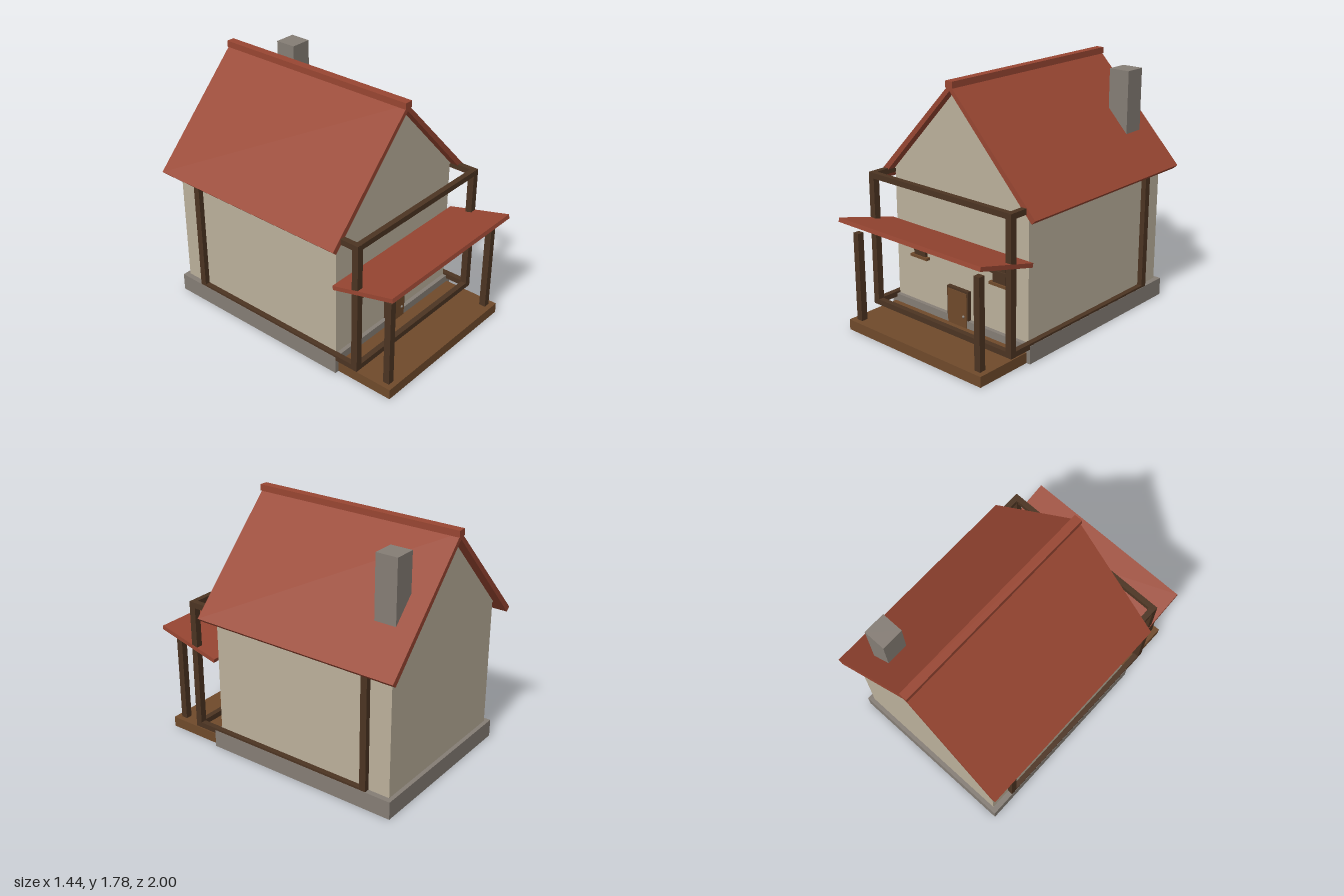
import * as THREE from 'three';

const mat = (name, color) => {
  const m = new THREE.MeshStandardMaterial({ color });
  m.name = name;
  return m;
};

export function createModel() {
  const plaster = mat('plaster', 0xbbb09b);
  const stone = mat('stone', 0x857d75);
  const tile = mat('roofTile', 0x984632);
  const timber = mat('darkTimber', 0x4c3422);
  const wood = mat('wood', 0x6f4a2b);

  const house = new THREE.Group();
  house.name = 'house';

  // Box given by its limits on each axis
  const box = (name, m, [x0, x1], [y0, y1], [z0, z1], parent = house) => {
    const mesh = new THREE.Mesh(new THREE.BoxGeometry(x1 - x0, y1 - y0, z1 - z0), m);
    mesh.position.set((x0 + x1) / 2, (y0 + y1) / 2, (z0 + z1) / 2);
    mesh.name = name;
    parent.add(mesh);
    return mesh;
  };

  // Cross-section in x, y drawn out along z
  const prism = (name, m, points, z0, z1) => {
    const shape = new THREE.Shape(points.map(([x, y]) => new THREE.Vector2(x, y)));
    const geo = new THREE.ExtrudeGeometry(shape, { depth: z1 - z0, bevelEnabled: false });
    const mesh = new THREE.Mesh(geo, m);
    mesh.position.z = z0;
    mesh.name = name;
    house.add(mesh);
  };

  // Main body
  box('foundation', stone, [-0.65, 0.65], [0, 0.13], [-0.95, 0.54]);
  box('walls', plaster, [-0.61, 0.61], [0.13, 1.07], [-0.92, 0.51]);
  prism('gable', plaster, [[-0.61, 1.07], [0.61, 1.07], [0, 1.715]], -0.928, 0.518);

  // Roof slopes, ridge and chimney
  for (const s of [-1, 1]) {
    prism(s > 0 ? 'leftRoof' : 'rightRoof', tile,
      [[0, 1.715], [0.69 * s, 0.985], [0.72 * s, 1.013], [0, 1.76]], -0.995, 0.58);
  }
  box('ridgeCap', tile, [-0.03, 0.03], [1.735, 1.78], [-1, 0.586]);
  box('chimney', stone, [0.32, 0.48], [1.2, 1.71], [-0.85, -0.69]);

  // Timber frame: corner posts with a ring of beams below and above
  const frame = new THREE.Group();
  frame.name = 'timberFrame';
  house.add(frame);
  for (const z of [-0.735, 0.697]) {
    for (const x of [-0.624, 0.624]) {
      box('framePost', timber, [x - 0.024, x + 0.024], [0.11, 1.075], [z - 0.024, z + 0.024], frame);
    }
  }
  for (const y of [0.125, 1.06]) {
    const ys = [y - 0.02, y + 0.02];
    for (const z of [-0.735, 0.7]) {
      box('crossBeam', timber, [-0.648, 0.648], ys, [z - 0.02, z + 0.02], frame);
    }
    for (const x of [-0.628, 0.628]) {
      box('sideBeam', timber, [x - 0.02, x + 0.02], ys, [-0.755, 0.72], frame);
    }
  }

  // Porch with tilted awning
  box('porchDeck', wood, [-0.62, 0.62], [0, 0.075], [0.54, 0.975]);
  for (const x of [-0.557, 0.557]) {
    box('porchPost', timber, [x - 0.024, x + 0.024], [0.075, 0.715], [0.889, 0.937]);
  }
  const awning = box('porchAwning', tile, [-0.65, 0.65], [0.732, 0.762], [0.509, 1.005]);
  awning.rotation.x = -0.25;

  // Door
  box('doorFrame', timber, [-0.098, 0.098], [0.002, 0.343], [0.5, 0.539]);
  box('doorPanel', wood, [-0.088, 0.088], [0.003, 0.328], [0.5, 0.544]);
  const knob = new THREE.Mesh(new THREE.SphereGeometry(0.01, 12, 8), stone);
  knob.position.set(0.06, 0.155, 0.545);
  knob.name = 'doorKnob';
  house.add(knob);

  // Windows with crossbar and sill
  for (const x of [-0.37, 0.37]) {
    box('window', timber, [x - 0.055, x + 0.055], [0.48, 0.635], [0.5, 0.53]);
    box('windowBar', timber, [x - 0.07, x + 0.07], [0.55, 0.573], [0.515, 0.54]);
    box('windowSill', wood, [x - 0.08, x + 0.08], [0.465, 0.484], [0.51, 0.542]);
  }

  return house;
}
